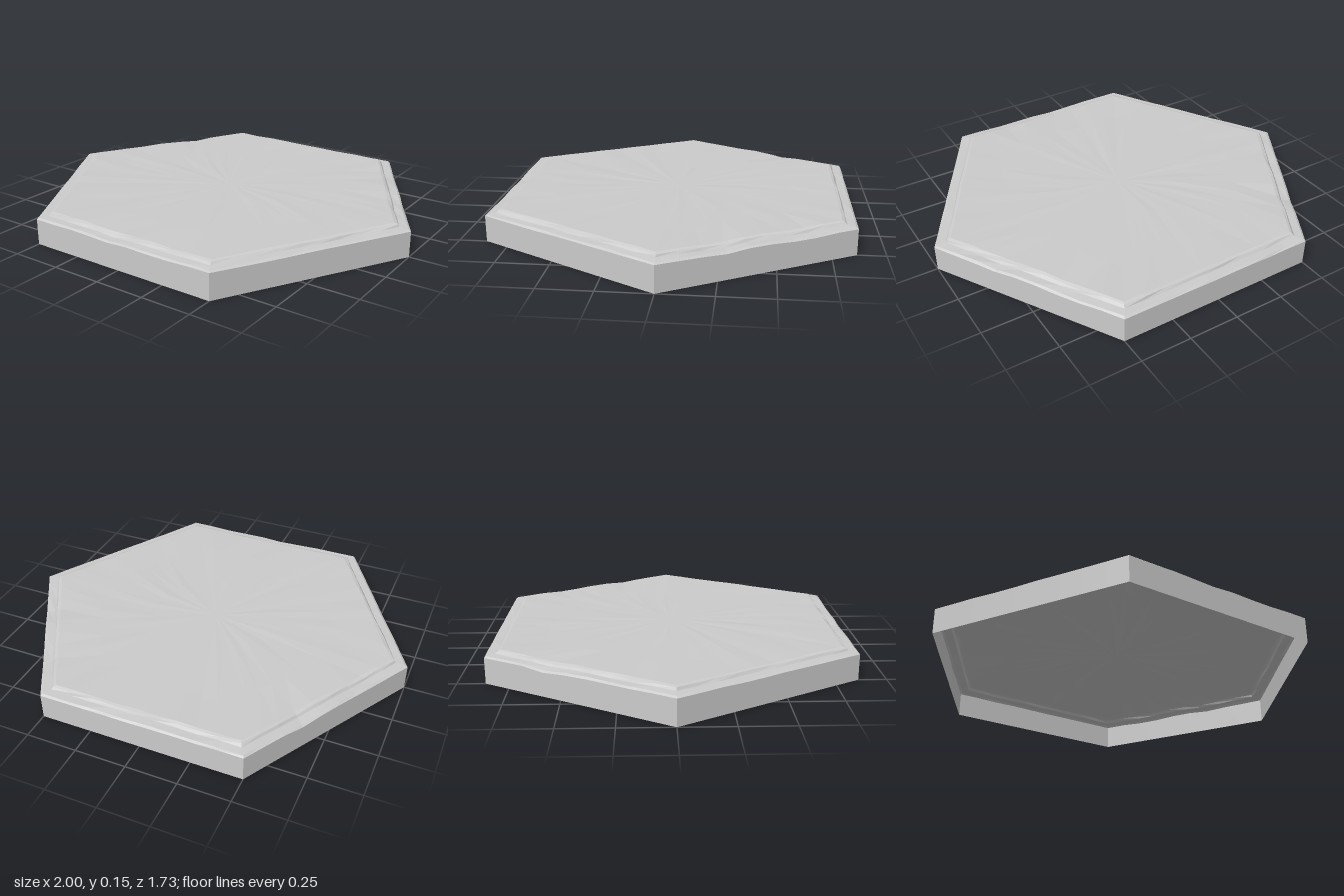
import * as THREE from 'three';

const SEG = 9; // points along each side of the hexagon
const COUNT = SEG * 6;

// Repeatable value between -1 and 1
function noise(a, b) {
  const s = Math.sin(a * 127.1 + b * 311.7 + 5.3) * 43758.5453;
  return (s - Math.floor(s)) * 2 - 1;
}

// Worn spots on the edge: x, z, radius, depth
const chips = [
  [-0.66, -0.56, 0.13, 0.012], [-0.82, -0.22, 0.1, 0.007],
  [0.62, -0.62, 0.13, 0.009], [0.82, -0.25, 0.12, 0.01],
  [-0.05, 0.84, 0.14, 0.008], [0.22, 0.85, 0.12, 0.007],
];

// One hexagonal loop of points; wear roughens it, rows differ by seed
function ring(radius, y, wear = 0, seed = 0) {
  const points = [];
  for (let i = 0; i < COUNT; i++) {
    const side = Math.floor(i / SEG), t = (i % SEG) / SEG;
    const a = side * Math.PI / 3, b = a + Math.PI / 3;
    const r = radius * (1 + wear * noise(i, seed));
    const x = r * THREE.MathUtils.lerp(Math.cos(a), Math.cos(b), t);
    const z = r * THREE.MathUtils.lerp(Math.sin(a), Math.sin(b), t);
    let py = y;
    if (seed) {
      py += 0.0015 * noise(i, seed + 20);
      for (const [cx, cz, cr, depth] of chips) {
        py -= depth * Math.max(0, 1 - Math.hypot(x - cx, z - cz) / cr);
      }
    }
    points.push([x, py, z]);
  }
  return points;
}

// Skin a stack of loops, ordered from outside/below to inside/above
function loft(name, rings, material, centreY) {
  const index = [];
  const position = rings.flat(2);
  for (let r = 0; r < rings.length - 1; r++) {
    for (let i = 0; i < COUNT; i++) {
      const j = (i + 1) % COUNT;
      const a = r * COUNT + i, b = r * COUNT + j;
      index.push(a, a + COUNT, b, b, a + COUNT, b + COUNT);
    }
  }
  if (centreY !== undefined) {
    const centre = position.length / 3, last = (rings.length - 1) * COUNT;
    position.push(0, centreY, 0);
    for (let i = 0; i < COUNT; i++) index.push(last + i, centre, last + (i + 1) % COUNT);
  }
  const geometry = new THREE.BufferGeometry();
  geometry.setAttribute('position', new THREE.Float32BufferAttribute(position, 3));
  geometry.setIndex(index);
  geometry.computeVertexNormals();
  const mesh = new THREE.Mesh(geometry, material);
  mesh.name = name;
  return mesh;
}

export function createModel() {
  const group = new THREE.Group();
  group.name = 'hexagonalTile';
  const stone = new THREE.MeshStandardMaterial({
    color: 0xcccccc, flatShading: true, side: THREE.DoubleSide,
  });

  const wallTop = ring(1, 0.126, 0, 1);
  const plateauFoot = ring(0.944, 0.135, 0.004, 3);

  // Thin upright wall, open underneath
  group.add(loft('sideWall', [ring(1, 0), wallTop], stone));
  // Narrow worn ledge around the plateau
  group.add(loft('rimLedge', [wallTop, ring(0.988, 0.133, 0.003, 2), plateauFoot], stone));
  // Raised slab with a bevelled edge and faintly uneven top
  group.add(loft('plateau', [
    plateauFoot,
    ring(0.934, 0.147, 0.004, 4),
    ring(0.917, 0.151, 0.005, 5),
    ring(0.68, 0.15, 0.04, 6),
    ring(0.35, 0.15, 0.08, 7),
  ], stone, 0.15));

  return group;
}
